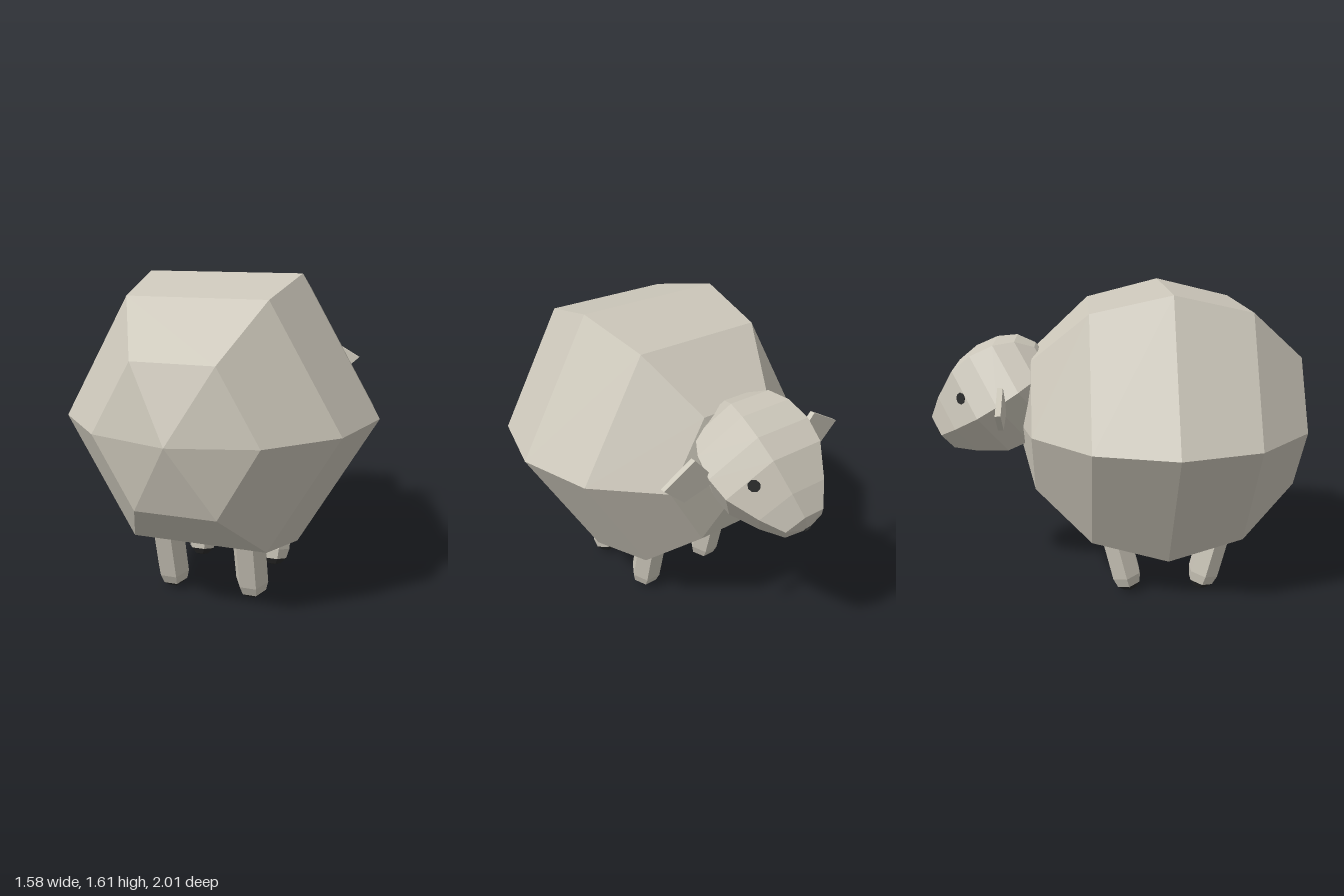
import * as THREE from 'three';

const material = (name, color) => {
  const m = new THREE.MeshStandardMaterial({ color, flatShading: true });
  m.name = name;
  return m;
};

export function createModel() {
  const wool = material('wool', 0xccc7ba);
  const dark = material('dark', 0x2a2b2b);

  const add = (parent, name, geometry, mat) => {
    const mesh = new THREE.Mesh(geometry, mat);
    mesh.name = name;
    parent.add(mesh);
    return mesh;
  };
  // Six-sided turned form with corners on the x axis; points are [radius, height]
  const hexLathe = (points) =>
    new THREE.LatheGeometry(points.map(([r, y]) => new THREE.Vector2(r, y)), 6, Math.PI / 2);

  const sheep = new THREE.Group();
  sheep.name = 'sheep';

  // Body: coarse sphere with its poles facing front and back
  const R = 0.79;
  const arc = [];
  for (let i = 0; i <= 6; i++) {
    const a = (i * Math.PI) / 6;
    arc.push([R * Math.sin(a), -R * Math.cos(a)]);
  }
  const body = add(sheep, 'body', hexLathe(arc), wool);
  body.position.set(0, 0.93, 0.205);
  body.rotation.x = Math.PI / 2;

  // Head: lathe axis points to the back and downwards
  const head = new THREE.Group();
  head.name = 'head';
  head.position.set(0, 1.064, -0.648);
  head.rotation.x = -2.13;
  sheep.add(head);
  add(head, 'skull', hexLathe([
    [0, -0.31], [0.138, -0.287], [0.233, -0.223], [0.286, -0.125], [0.307, 0],
    [0.29, 0.12], [0.2, 0.268], [0.116, 0.371], [0, 0.402],
  ]), wool);
  add(head, 'nose', new THREE.CylinderGeometry(0.014, 0.018, 0.009, 6), dark).position.y = 0.402;

  // Eyes: thin discs lying on the upper side faces
  const up = new THREE.Vector3(0, 1, 0);
  for (const side of [-1, 1]) {
    const radial = new THREE.Vector3(side * Math.cos(Math.PI / 6), 0, 0.5);
    const normal = radial.clone().multiplyScalar(0.885).addScaledVector(up, 0.466).normalize();
    const eye = add(head, side > 0 ? 'leftEye' : 'rightEye',
      new THREE.CylinderGeometry(0.03, 0.03, 0.008, 8), dark);
    eye.position.copy(radial).multiplyScalar(0.237).addScaledVector(up, 0.147);
    eye.quaternion.setFromUnitVectors(up, normal);
  }

  // Ears: thin tapered plates drooping outwards
  for (const side of [-1, 1]) {
    const outline = [[0.24, 1.03], [0.375, 1.18], [0.545, 1.085], [0.435, 0.985]];
    const shape = new THREE.Shape(outline.map(([x, y]) => new THREE.Vector2(side * x, y)));
    add(sheep, side > 0 ? 'leftEar' : 'rightEar',
      new THREE.ExtrudeGeometry(shape, { depth: 0.027, bevelEnabled: false }), wool)
      .position.z = -0.634;
  }

  // Legs: splayed front to back, with dark rounded hooves
  const legShape = hexLathe([[0.07, 0.045], [0.085, 0.1], [0.085, 0.5]]);
  const hoofShape = hexLathe([[0, 0], [0.04, 0.012], [0.07, 0.045]]);
  for (const x of [-0.215, 0.215]) {
    for (const [z, tilt, name] of [[0.394, 0.24, 'frontLeg'], [0.019, -0.24, 'backLeg']]) {
      const leg = new THREE.Group();
      leg.name = name;
      leg.position.set(x, 0, z);
      leg.rotation.x = tilt;
      add(leg, 'shank', legShape, wool);
      add(leg, 'hoof', hoofShape, dark);
      sheep.add(leg);
    }
  }

  return sheep;
}
